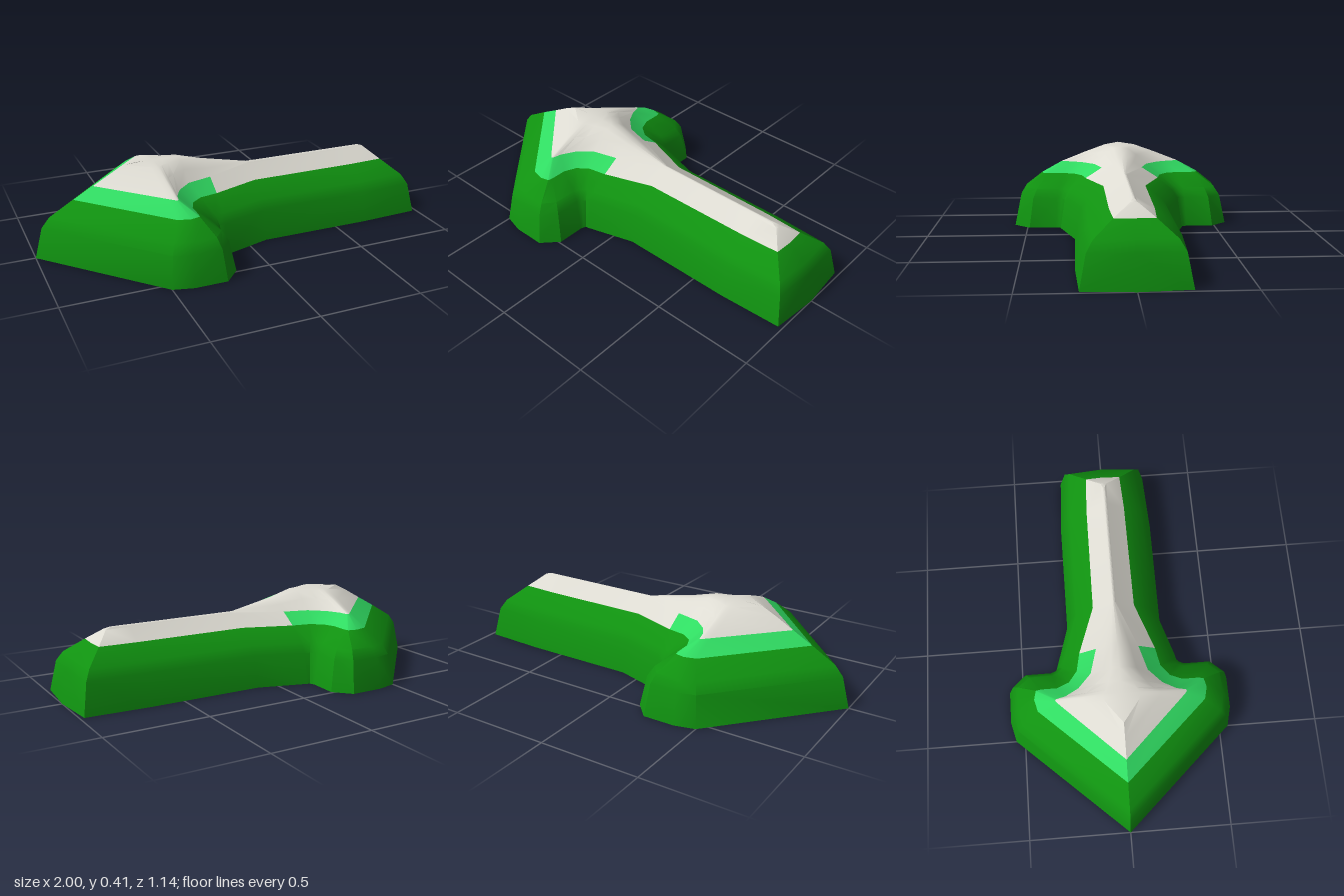
import * as THREE from 'three';
import { toCreasedNormals } from 'three/addons/utils/BufferGeometryUtils.js';

// Half outlines as [x, z], from the tip round one wing to the shaft end.
// Column NECK is where the head meets the shaft.
const NECK = 8;
const foot = [[-1, 0], [-0.5, 0.545], [-0.4, 0.57], [-0.24, 0.57], [-0.165, 0.49], [-0.165, 0.35], [-0.16, 0.335],
  [-0.155, 0.325], [-0.14, 0.322], [0.1, 0.25], [0.67, 0.25], [0.98, 0.235], [1, 0]];
const edge = [[-0.8, 0], [-0.42, 0.41], [-0.36, 0.425], [-0.315, 0.415], [-0.31, 0.39], [-0.31, 0.31], [-0.285, 0.25],
  [-0.23, 0.208], [-0.14, 0.19], [0.1, 0.105], [0.66, 0.1], [0.845, 0.09], [0.85, 0]];
const band = [[-0.7, 0], [-0.42, 0.29], [-0.395, 0.315], [-0.385, 0.32], [-0.38, 0.315], [-0.37, 0.27], [-0.335, 0.205],
  [-0.265, 0.14], [-0.14, 0.105], [0.1, 0.015], [0.66, 0.015], [0.78, 0.015], [0.785, 0]];
// Crown and ridge line as [x, y]
const spine = [[-0.48, 0.415], [-0.44, 0.415], [-0.42, 0.415], [-0.41, 0.415], [-0.4, 0.415], [-0.38, 0.415], [-0.34, 0.415],
  [-0.27, 0.415], [-0.14, 0.38], [0.1, 0.335], [0.66, 0.335], [0.74, 0.335], [0.74, 0.335]];

function makeRings() {
  const level = (points, y) => points.map(([x, z]) => new THREE.Vector3(x, y, z));
  // Blend two rings: t moves points sideways, s moves them upwards
  const blend = (from, to, t, s) => from.map((p, i) => {
    const v = p.clone().lerp(to[i], t);
    v.y = THREE.MathUtils.lerp(p.y, to[i].y, s);
    return v;
  });
  const low = level(foot, 0);
  const mid = level(edge, 0.27);
  const high = level(band, 0.325);
  const top = spine.map(([x, y]) => new THREE.Vector3(x, y, 0));
  return [
    low, blend(low, mid, 0.2, 0.56), blend(low, mid, 0.4, 0.74), // rounded walls
    mid, high,
    blend(high, top, 0.4, 0.55), blend(high, top, 0.72, 0.94), top, // domed crest
  ];
}

function buildArrow() {
  const rings = makeRings();
  const buckets = [[], [], []]; // base, band, crest
  const mirror = (v) => new THREE.Vector3(v.x, v.y, -v.z);
  const tri = (bucket, a, b, c) => {
    const area = b.clone().sub(a).cross(c.clone().sub(a)).length();
    if (area > 1e-7) for (const v of [a, b, c]) bucket.push(v.x, v.y, v.z);
  };
  const quad = (bucket, a, b, c, d) => {
    tri(bucket, a, b, c);
    tri(bucket, a, c, d);
  };

  // Sloping sides, mirrored across the centre line
  for (let r = 0; r < rings.length - 1; r++) {
    for (let i = 0; i < foot.length - 1; i++) {
      const bucket = buckets[r < 3 ? 0 : r === 3 && i < NECK ? 1 : 2];
      const corners = [rings[r][i], rings[r][i + 1], rings[r + 1][i + 1], rings[r + 1][i]];
      quad(bucket, ...corners);
      const [a, b, c, d] = corners.map(mirror);
      tri(bucket, a, c, b);
      tri(bucket, a, d, c);
    }
  }
  // Flat underside
  const low = rings[0];
  for (let i = 0; i < low.length - 1; i++) {
    quad(buckets[0], low[i], mirror(low[i]), mirror(low[i + 1]), low[i + 1]);
  }

  const geometry = new THREE.BufferGeometry();
  geometry.setAttribute('position', new THREE.Float32BufferAttribute(buckets.flat(), 3));
  let start = 0;
  buckets.forEach((bucket, m) => {
    geometry.addGroup(start, bucket.length / 3, m);
    start += bucket.length / 3;
  });
  return toCreasedNormals(geometry, 0.6);
}

export function createModel() {
  const material = (name, color) => {
    const m = new THREE.MeshStandardMaterial({ color });
    m.name = name;
    return m;
  };
  const group = new THREE.Group();
  group.name = 'arrowMound';
  const arrow = new THREE.Mesh(buildArrow(), [
    material('dark green base', 0x109210),
    material('light green band', 0x30dc62),
    material('off white crest', 0xdddbd2),
  ]);
  arrow.name = 'arrowBody';
  group.add(arrow);
  return group;
}
